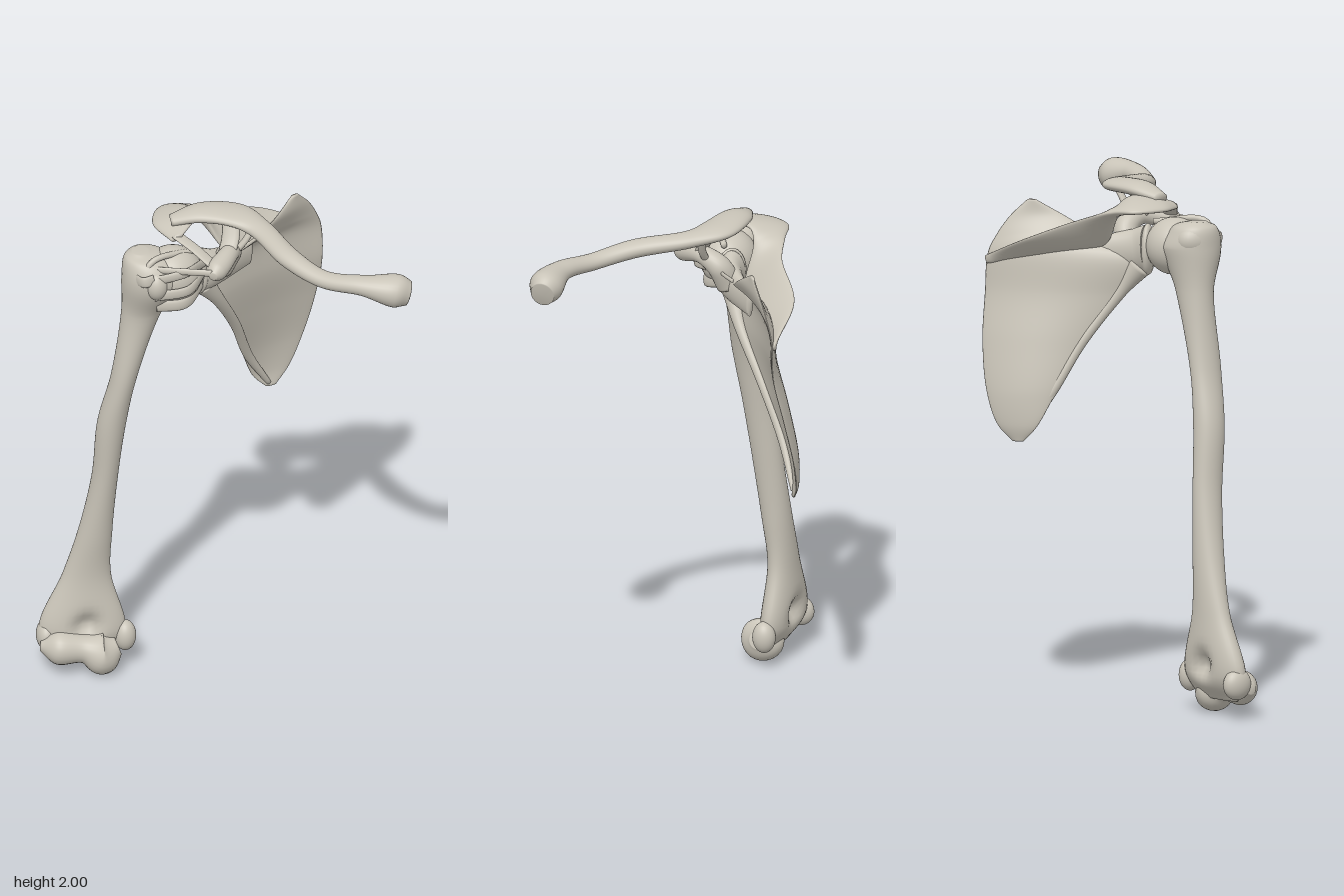
import * as THREE from 'three';

const V = (x, y, z) => new THREE.Vector3(x, y, z);
const bone = new THREE.MeshStandardMaterial({ color: 0xc9c4b8 });
bone.name = 'bone';

// Skin a solid through oval sections: { a, b } opposite edges, t half thickness, bow
function loft(sections, steps, sides) {
  const a = new THREE.CatmullRomCurve3(sections.map((s) => s.a));
  const b = new THREE.CatmullRomCurve3(sections.map((s) => s.b));
  const k = new THREE.CatmullRomCurve3(sections.map((s) => V(s.t, s.bow || 0, 0)), false, 'catmullrom');
  const mid = (t) => a.getPoint(t).add(b.getPoint(t)).multiplyScalar(0.5);
  const pos = [], idx = [];
  for (let i = 0; i <= steps; i++) {
    const t = i / steps, c = mid(t), half = b.getPoint(t).sub(c);
    const along = mid(Math.min(1, t + 0.01)).sub(mid(Math.max(0, t - 0.01)));
    const n = along.cross(half).normalize(), { x: thick, y: bow } = k.getPoint(t);
    for (let j = 0; j < sides; j++) {
      const q = (j / sides) * Math.PI * 2, s = Math.sin(q);
      const p = c.clone().addScaledVector(half, Math.cos(q)).addScaledVector(n, Math.max(thick, 0.002) * s + bow * s * s);
      pos.push(...p);
    }
  }
  for (let i = 0; i < steps; i++) for (let j = 0; j < sides; j++) {
    const p = i * sides + j, q = i * sides + (j + 1) % sides;
    idx.push(p, q, q + sides, p, q + sides, p + sides);
  }
  // end caps
  const first = pos.length / 3, last = steps * sides;
  pos.push(...mid(0), ...mid(1));
  for (let j = 0; j < sides; j++) {
    const m = (j + 1) % sides;
    idx.push(first, m, j, first + 1, last + j, last + m);
  }
  const g = new THREE.BufferGeometry();
  g.setAttribute('position', new THREE.Float32BufferAttribute(pos, 3));
  g.setIndex(idx);
  g.computeVertexNormals();
  return g;
}

// Rod along points [x, y, z, half width, half height]; the width lies level, across the path
function rod(points, steps = 40, sides = 24) {
  return loft(points.map(([x, y, z, w, h = w], i) => {
    const p = points[Math.max(0, i - 1)], n = points[Math.min(points.length - 1, i + 1)];
    const side = V(n[2] - p[2], 0, p[0] - n[0]).normalize().multiplyScalar(w), c = V(x, y, z);
    return { a: c.clone().sub(side), b: c.add(side), t: h };
  }), steps, sides);
}

function add(parent, name, geometry) {
  const mesh = new THREE.Mesh(geometry, bone);
  mesh.name = name;
  parent.add(mesh);
  return mesh;
}

function ball(parent, name, centre, size) {
  const mesh = add(parent, name, new THREE.SphereGeometry(1, 32, 20));
  mesh.position.set(...centre);
  mesh.scale.set(...size);
  return mesh;
}

function group(parent, name) {
  const g = new THREE.Group();
  g.name = name;
  parent.add(g);
  return g;
}

function buildUpperArm(arm) {
  // level sections: [y, x right, x left, z centre, half depth]
  const shaft = loft([
    [1.865, -0.34, -0.28, 0.035, 0.035], [1.84, -0.37, -0.2, 0.035, 0.085], [1.76, -0.38, -0.14, 0.04, 0.115],
    [1.6, -0.38, -0.225, 0.025, 0.07], [1.31, -0.42, -0.32, 0.023, 0.065], [1.1, -0.47, -0.36, 0.003, 0.063],
    [0.85, -0.49, -0.39, -0.025, 0.06], [0.6, -0.54, -0.41, -0.048, 0.057], [0.4, -0.6, -0.415, -0.062, 0.053],
    [0.17, -0.69, -0.36, -0.055, 0.065], [0.07, -0.64, -0.4, -0.04, 0.02],
  ].map(([y, x0, x1, z, t]) => ({ a: V(x0, y, z), b: V(x1, y, z), t })), 90, 40);
  // hollows above the elbow, pressed in from front and back
  const p = shaft.attributes.position;
  for (let i = 0; i < p.count; i++) {
    const d2 = (p.getX(i) + 0.51) ** 2 + (p.getY(i) - 0.2) ** 2;
    p.setZ(i, -0.055 + (p.getZ(i) + 0.055) * (1 - 0.75 * Math.exp(-d2 / 0.0022)));
  }
  shaft.computeVertexNormals();
  add(arm, 'shaft', shaft);
  ball(arm, 'head', [-0.185, 1.755, 0.025], [0.115, 0.11, 0.11]);
  ball(arm, 'greaterTubercle', [-0.31, 1.795, 0.03], [0.065, 0.07, 0.09]);
  ball(arm, 'lesserTubercle', [-0.25, 1.76, 0.12], [0.045, 0.06, 0.05]);
  add(arm, 'elbowSpool', rod([
    [-0.685, 0.12, -0.01, 0.02], [-0.62, 0.115, 0, 0.065], [-0.52, 0.107, 0, 0.055],
    [-0.45, 0.09, 0, 0.085], [-0.39, 0.11, -0.01, 0.035],
  ], 50));
  ball(arm, 'innerEpicondyle', [-0.362, 0.138, -0.045], [0.042, 0.062, 0.045]);
  ball(arm, 'outerEpicondyle', [-0.66, 0.14, -0.06], [0.04, 0.06, 0.06]);
}

function buildShoulderBlade(scapula) {
  // level sections: [y, outer x, outer z, inner x, inner z], hollowed most at mid height
  const rows = [
    [1.905, 0.28, -0.275, 0.305, -0.295], [1.84, 0.2, -0.19, 0.35, -0.345], [1.77, 0.09, -0.12, 0.38, -0.385],
    [1.7, -0.06, -0.06, 0.4, -0.412], [1.55, -0.02, -0.105, 0.405, -0.422], [1.37, 0.05, -0.22, 0.38, -0.455],
    [1.18, 0.1, -0.33, 0.33, -0.475], [1.06, 0.14, -0.385, 0.28, -0.463], [1.0, 0.19, -0.41, 0.23, -0.43],
  ];
  add(scapula, 'blade', loft(rows.map(([y, x0, z0, x1, z1], i) => {
    const s = Math.sin((i / (rows.length - 1)) * Math.PI);
    return { a: V(x0, y, z0), b: V(x1, y, z1), t: 0.007 + 0.009 * s, bow: -0.045 * s * s };
  }), 70, 40));
  add(scapula, 'outerBorder', rod([
    [-0.07, 1.67, -0.05, 0.045], [-0.01, 1.57, -0.1, 0.026], [0.065, 1.38, -0.225, 0.02],
    [0.12, 1.18, -0.335, 0.018], [0.2, 1.015, -0.415, 0.01],
  ]));
  add(scapula, 'neck', rod([
    [-0.09, 1.735, -0.03, 0.055, 0.095], [-0.04, 1.73, -0.05, 0.048, 0.08], [0.12, 1.71, -0.2, 0.012, 0.05],
  ]));
  ball(scapula, 'socketRim', [-0.09, 1.735, -0.03], [0.06, 0.1, 0.025]).rotation.y = -0.9;
  // raised spine running out into the flat shoulder tip: [crest, base, half thickness]
  add(scapula, 'spineAndShoulderTip', loft([
    [V(0.4, 1.69, -0.425), V(0.39, 1.66, -0.42), 0.008], [V(0.18, 1.78, -0.41), V(0.18, 1.71, -0.27), 0.014],
    [V(0, 1.865, -0.28), V(0.03, 1.75, -0.14), 0.016], [V(-0.12, 1.9, -0.24), V(-0.045, 1.88, -0.14), 0.02],
    [V(-0.225, 1.91, -0.205), V(-0.07, 1.935, -0.12), 0.02], [V(-0.255, 1.91, -0.08), V(-0.09, 1.945, -0.06), 0.02],
    [V(-0.19, 1.9, 0.035), V(-0.15, 1.92, 0.03), 0.01],
  ].map(([a, b, t]) => ({ a, b, t })), 70, 28));
  add(scapula, 'coracoidHook', rod([
    [0, 1.73, -0.06, 0.05], [0.035, 1.81, -0.03, 0.045], [0.03, 1.845, 0.04, 0.036],
    [-0.025, 1.825, 0.14, 0.04], [-0.04, 1.82, 0.175, 0.016],
  ]));
}

function buildLigaments(bands) {
  const band = (name, from, via, to, width, height) =>
    add(bands, name, rod([from, via, to].map((p) => [...p, width, height]), 20, 12));
  // collar bone and shoulder tip to the hook
  band('frontCollarBand', [0.02, 1.85, 0.05], [0.035, 1.9, 0.02], [0.04, 1.96, -0.01], 0.035, 0.012);
  band('backCollarBand', [0.05, 1.83, 0.01], [0.09, 1.88, 0.01], [0.125, 1.94, 0], 0.016, 0.012);
  band('shoulderTipBand', [-0.03, 1.84, 0.13], [-0.1, 1.885, 0.075], [-0.17, 1.915, 0.015], 0.026, 0.007);
  band('hookToArmBand', [-0.04, 1.83, 0.165], [-0.16, 1.83, 0.145], [-0.3, 1.82, 0.105], 0.008, 0.014);
  // joint capsule
  band('upperCapsuleBand', [-0.06, 1.8, 0.02], [-0.15, 1.815, 0.14], [-0.29, 1.78, 0.14], 0.008, 0.02);
  band('middleCapsuleBand', [-0.06, 1.76, 0.01], [-0.13, 1.74, 0.135], [-0.26, 1.72, 0.14], 0.008, 0.022);
  band('lowerCapsuleBand', [-0.07, 1.7, 0], [-0.14, 1.665, 0.1], [-0.25, 1.66, 0.11], 0.008, 0.024);
  band('grooveBand', [-0.26, 1.8, 0.15], [-0.3, 1.79, 0.155], [-0.345, 1.79, 0.095], 0.006, 0.022);
  band('armTendon', [-0.305, 1.7, 0.12], [-0.27, 1.85, 0.11], [-0.09, 1.84, 0], 0.012, 0.012);
  band('notchBand', [0.04, 1.79, -0.04], [0.09, 1.8, -0.08], [0.15, 1.81, -0.14], 0.006, 0.008);
}

export function createModel() {
  const model = new THREE.Group();
  buildUpperArm(group(model, 'upperArmBone'));
  buildShoulderBlade(group(model, 'shoulderBlade'));
  add(model, 'collarBone', rod([
    [-0.19, 1.945, -0.045, 0.03, 0.02], [-0.08, 1.97, -0.055, 0.062, 0.028], [0.06, 1.966, -0.035, 0.075, 0.028],
    [0.145, 1.948, 0.04, 0.05, 0.03], [0.25, 1.92, 0.22, 0.045, 0.034], [0.375, 1.893, 0.34, 0.038, 0.032],
    [0.52, 1.9, 0.405, 0.046, 0.038], [0.64, 1.88, 0.415, 0.066, 0.064], [0.69, 1.865, 0.41, 0.045, 0.05],
  ], 80, 32));
  buildLigaments(group(model, 'ligaments'));
  return model;
}
